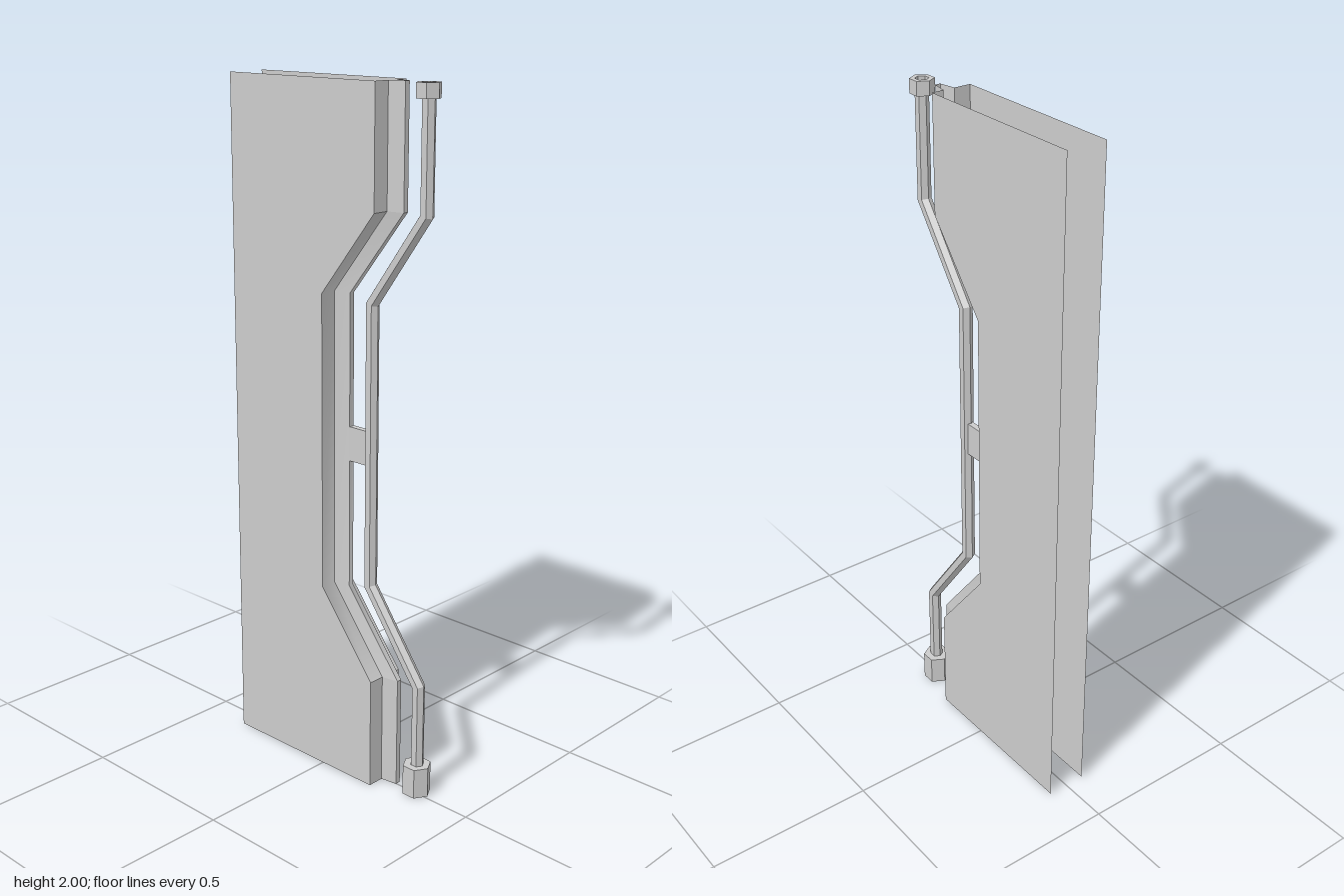
import * as THREE from 'three';

const grey = { color: 0xcccccc };
const sheetMat = new THREE.MeshStandardMaterial({ ...grey, side: THREE.DoubleSide });
const flatMat = new THREE.MeshStandardMaterial({ ...grey, flatShading: true, side: THREE.DoubleSide });

// Skin between rows of points; neighbouring rows share corners
function skin(rows) {
  const n = rows[0].length, index = [];
  for (let r = 0; r < rows.length - 1; r++) {
    for (let i = 0; i < n - 1; i++) {
      const a = r * n + i, b = a + 1, c = a + n, d = c + 1;
      index.push(a, b, d, a, d, c);
    }
  }
  const geo = new THREE.BufferGeometry();
  geo.setAttribute('position', new THREE.Float32BufferAttribute(rows.flat(2), 3));
  geo.setIndex(index);
  geo.computeVertexNormals();
  return geo;
}

function add(parent, name, geo, mat) {
  const mesh = new THREE.Mesh(geo, mat);
  mesh.name = name;
  parent.add(mesh);
  return mesh;
}

export function createModel() {
  const model = new THREE.Group();
  model.name = 'ribbedPanelWithPipe';

  // Housing: open at the back, top and bottom, with a recessed front and a tapered rib
  const housing = new THREE.Group();
  housing.name = 'housing';
  model.add(housing);
  const back = -0.35;
  const section = [
    ['rightPanel', -0.06, back], ['frontRight', -0.06, 0], ['ribRight', -0.01, 0],
    ['ribFront', -0.001, 0.05], ['ribLeft', 0.015, 0.05], ['frontLeft', 0.024, 0],
    ['leftPanel', 0.06, 0], ['', 0.06, back],
  ];
  const profile = [[0, 0.19], [0.33, 0.19], [0.57, 0], [1.43, 0], [1.667, 0.19], [2, 0.19]];
  const spans = [[0, 2], [1, 5], [4, 6]]; // straight ends, smooth middle
  const corner = ([, x, z], [y, offset]) => [x, y, z === back ? back : z + offset];
  for (let i = 0; i < section.length - 1; i++) {
    for (const [from, to] of spans) {
      const rows = profile.slice(from, to).map((p) => [corner(section[i], p), corner(section[i + 1], p)]);
      add(housing, section[i][0], skin(rows), sheetMat);
    }
  }

  // Six-sided pipe with mitred bends: [y, z, tilt of the joint]
  const pipeX = 0.009, pipeR = 0.019;
  const path = [
    [0, 0.311, 0], [0.335, 0.311, 0.32], [0.59, 0.125, 0.32],
    [1.41, 0.125, -0.32], [1.665, 0.311, -0.32], [1.998, 0.311, 0],
  ];
  const rings = path.map(([y, z, tilt]) => Array.from({ length: 7 }, (_, k) => {
    const a = (k * Math.PI) / 3, dz = pipeR * Math.cos(a);
    return [pipeX + pipeR * Math.sin(a), y + tilt * dz, z + dz];
  }));
  add(model, 'pipe', skin(rings), flatMat);

  // Hollow hexagonal collars at both pipe ends
  const collar = (name, radius, y0, y1) => {
    const outline = [[pipeR, y0], [radius, y0], [radius, y1], [pipeR, y1], [pipeR, y0]];
    const geo = new THREE.LatheGeometry(outline.map(([r, y]) => new THREE.Vector2(r, y)), 6);
    add(model, name, geo, flatMat).position.set(pipeX, 0, 0.309);
  };
  collar('bottomCollar', 0.042, 0, 0.09);
  collar('topCollar', 0.034, 1.96, 2);

  // Bracket joining the pipe to the rib
  add(model, 'bracket', new THREE.BoxGeometry(0.018, 0.1, 0.07), flatMat).position.set(0.008, 1, 0.083);

  return model;
}
